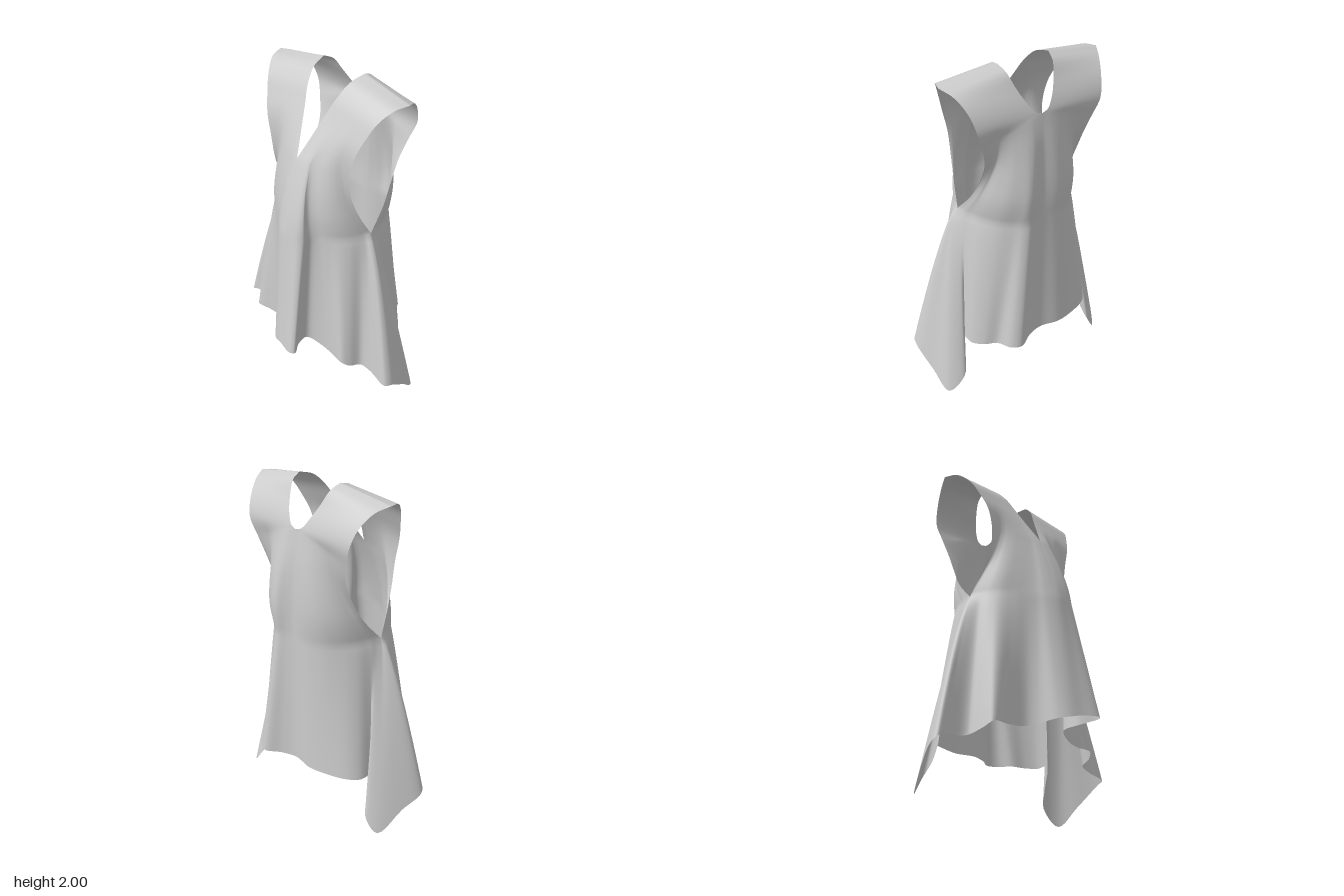
import * as THREE from 'three';
import { mergeVertices } from 'three/addons/utils/BufferGeometryUtils.js';

const V = (x, y, z) => new THREE.Vector3(x, y, z);
const { lerp, smoothstep } = THREE.MathUtils;
const CHEST_Y = 1.14;

// Fold lines round the skirt: [hem x, hem y, hem z, chest x, chest z].
// Each quarter starts at a side seam or a centre line.
const frontLeft = [
  [.565, 0, -.22, .35, -.03], [.6, .1, -.1, .35, -.025], [.635, .22, .04, .348, -.018], [.615, .23, .09, .345, -.006],
  [.5, .26, .085, .34, .012], [.43, .28, .1, .328, .05], [.405, .3, .17, .303, .1], [.37, .33, .21, .265, .145],
  [.28, .335, .2, .22, .178], [.2, .35, .205, .17, .205], [.115, .385, .245, .145, .235], [.135, .4, .33, .143, .265],
  [.205, .43, .425, .15, .293], [.18, .43, .445, .125, .318], [.08, .42, .42, .06, .325],
];
const frontRight = [
  [0, .4, .395, 0, .32], [-.05, .39, .35, -.06, .292], [-.1, .37, .26, -.1, .257], [-.15, .355, .215, -.145, .225],
  [-.27, .34, .205, -.205, .187], [-.38, .33, .215, -.268, .142], [-.405, .3, .16, -.305, .095], [-.44, .27, .075, -.328, .045],
  [-.56, .25, .06, -.34, .01], [-.62, .23, .065, -.345, -.008], [-.635, .2, .03, -.348, -.018], [-.595, .13, -.08, -.35, -.025],
];
const backRight = [
  [-.53, 0, -.22, -.35, -.03], [-.46, .1, -.25, -.345, -.06], [-.43, .2, -.2, -.34, -.09], [-.42, .33, -.17, -.33, -.12],
  [-.41, .33, -.24, -.31, -.18], [-.36, .335, -.3, -.27, -.25], [-.25, .34, -.35, -.2, -.32], [-.12, .34, -.375, -.1, -.36],
];
const backLeft = [
  [0, .345, -.36, 0, -.36], [.1, .345, -.39, .05, -.37], [.19, .345, -.445, .1, -.385], [.25, .345, -.42, .135, -.375],
  [.29, .34, -.34, .175, -.345], [.36, .335, -.3, .245, -.285], [.41, .33, -.24, .3, -.2], [.42, .33, -.17, .33, -.12],
  [.43, .2, -.2, .34, -.09], [.47, .1, -.25, .345, -.06],
];

// Left half of each bodice panel: armhole edge, then centre line and collar edge,
// which meet at the fraction "split" of the height steps
const curve = (pts) => new THREE.CatmullRomCurve3(pts.map((p) => V(...p)));
const front = {
  arm: curve([[.35, 1.14, -.03], [.328, 1.27, .04], [.312, 1.4, .09], [.315, 1.55, .11], [.345, 1.68, .105],
    [.38, 1.78, .07], [.418, 1.87, .025], [.462, 1.932, -.045], [.49, 1.945, -.13]]),
  centre: curve([[0, 1.14, .32], [0, 1.27, .29], [0, 1.41, .25], [0, 1.565, .195]]),
  collar: curve([[0, 1.565, .195], [.045, 1.7, .12], [.08, 1.81, .06], [.112, 1.9, .01], [.138, 1.972, -.06], [.155, 2, -.15]]),
  split: 3 / 8,
};
const back = {
  arm: curve([[.35, 1.14, -.03], [.332, 1.27, -.145], [.316, 1.4, -.22], [.318, 1.52, -.27], [.347, 1.63, -.3],
    [.385, 1.74, -.32], [.412, 1.84, -.283], [.45, 1.915, -.21], [.49, 1.945, -.13]]),
  centre: curve([[0, 1.14, -.36], [0, 1.3, -.36], [0, 1.45, -.355], [0, 1.6, -.345], [0, 1.755, -.325]]),
  collar: curve([[0, 1.755, -.325], [.04, 1.77, -.32], [.08, 1.825, -.297], [.115, 1.895, -.258], [.142, 1.97, -.21], [.155, 2, -.15]]),
  split: 1 / 2,
};

export function createModel() {
  const group = new THREE.Group();
  group.name = 'sleevelessTunic';

  const quarters = [
    { rows: frontLeft, panel: front, side: 1, toCentre: true },
    { rows: frontRight, panel: front, side: -1, toCentre: false },
    { rows: backRight, panel: back, side: -1, toCentre: true },
    { rows: backLeft, panel: back, side: 1, toCentre: false },
  ];
  const all = quarters.flatMap((q) => q.rows);
  const hem = new THREE.CatmullRomCurve3(all.map((r) => V(r[0], r[1], r[2])), true);
  const chest = new THREE.CatmullRomCurve3(all.map((r) => V(r[3], CHEST_Y, r[4])), true);

  const SUB = 5, SKIRT = 28, BODICE = 40;
  const positions = [], index = [];
  let start = 0;

  for (const { rows, panel, side, toCentre } of quarters) {
    const cols = rows.length * SUB;
    const base = positions.length / 3;
    // Point on the straight span from armhole (s = 0) to centre or collar (s = 1)
    const span = (v, s) => {
      const { arm, centre, collar, split } = panel;
      const inner = v <= split ? centre.getPoint(v / split) : collar.getPoint((v - split) / (1 - split));
      const p = arm.getPoint(v).lerp(inner, s);
      p.x *= side;
      return p;
    };
    for (let j = 0; j <= cols; j++) {
      const u = ((start + j / SUB) / all.length) % 1;
      const s = toCentre ? j / cols : 1 - j / cols;
      const h = hem.getPoint(u), c = chest.getPoint(u);

      // Skirt: the sides flare quickly over the hips, front and back fall straight
      const flare = lerp(1, 0.73, smoothstep(Math.abs(c.x), 0.2, 0.34));
      for (let i = 0; i < SKIRT; i++) {
        const t = 1 - i / SKIRT;
        positions.push(lerp(c.x, h.x, t ** flare), lerp(c.y, h.y, t), lerp(c.z, h.z, t));
      }
      // Bodice: spans armhole to neck while the folds fade out upward
      const fold = c.clone().sub(span(0, s));
      for (let i = 0; i <= BODICE; i++) {
        const v = i / BODICE;
        const p = span(v, s).addScaledVector(fold, 1 - smoothstep(v, 0, 0.62));
        positions.push(p.x, p.y, p.z);
      }
    }
    const n = SKIRT + BODICE + 1;
    for (let j = 0; j < cols; j++) {
      for (let i = 0; i < n - 1; i++) {
        const a = base + j * n + i, b = a + n;
        index.push(a, a + 1, b, b, a + 1, b + 1);
      }
    }
    start += rows.length;
  }

  // Weld the quarters along seams, centre lines and shoulders
  let geometry = new THREE.BufferGeometry();
  geometry.setAttribute('position', new THREE.Float32BufferAttribute(positions, 3));
  geometry.setIndex(index);
  geometry = mergeVertices(geometry, 1e-4);
  geometry.computeVertexNormals();

  const cloth = new THREE.Mesh(geometry, new THREE.MeshStandardMaterial({ color: 0xcccccc, side: THREE.DoubleSide }));
  cloth.name = 'drapedCloth';
  group.add(cloth);
  return group;
}
